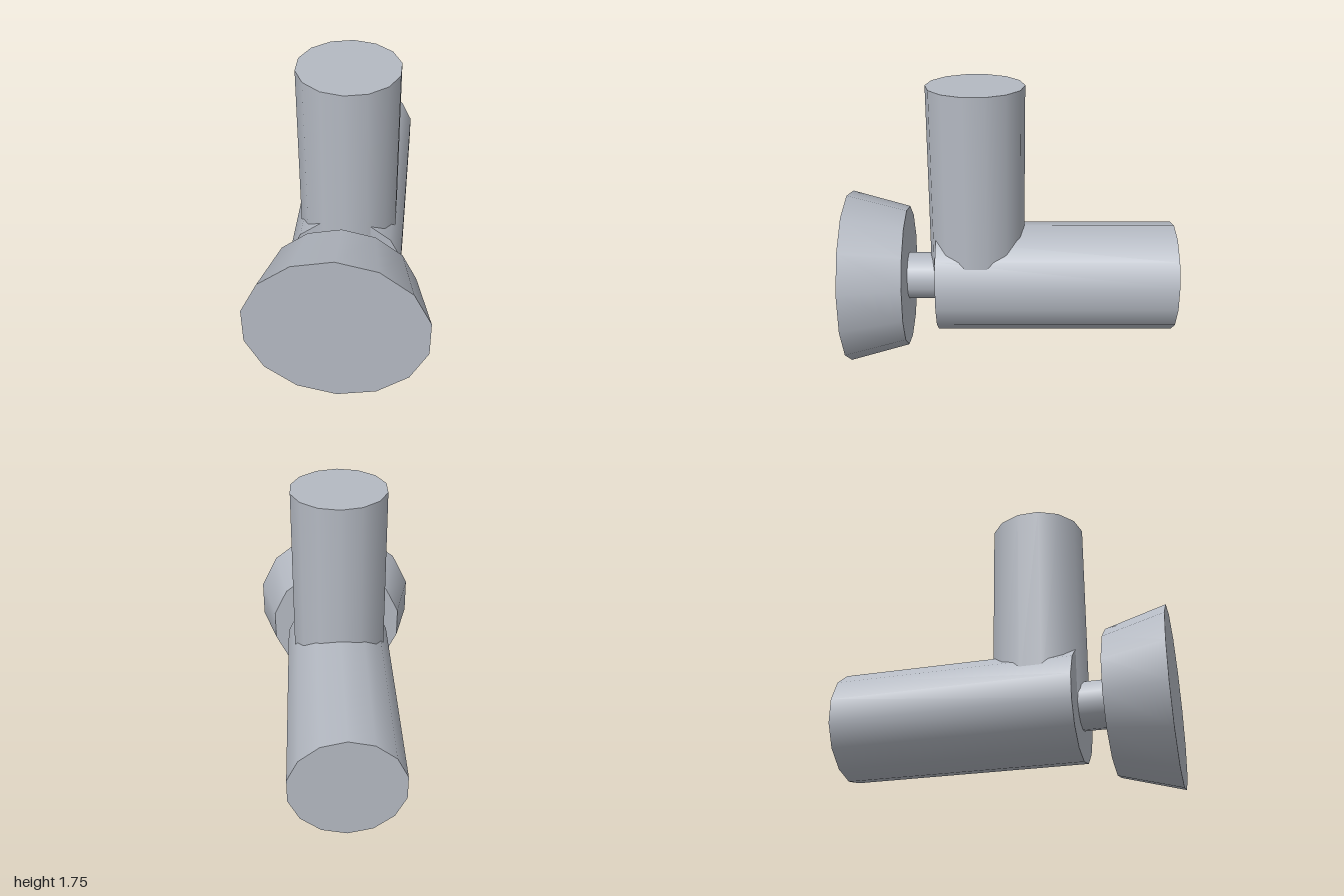
import * as THREE from 'three';

const SIDES = 14;
const AXIS_Y = 0.537;

export function createModel() {
  const group = new THREE.Group();
  const grey = new THREE.MeshStandardMaterial({ color: 0xb4b9c2 });
  grey.name = 'light grey';

  // Capped round part lying along z between two depths
  function alongZ(name, rBack, rFront, zBack, zFront) {
    const geometry = new THREE.CylinderGeometry(rFront, rBack, zFront - zBack, SIDES);
    geometry.rotateX(Math.PI / 2);
    const mesh = new THREE.Mesh(geometry, grey);
    mesh.name = name;
    mesh.position.set(0, AXIS_Y, (zBack + zFront) / 2);
    group.add(mesh);
  }

  alongZ('barrel', 0.337, 0.337, -1, 0.455);
  alongZ('neck', 0.145, 0.145, 0.4, 0.66);
  alongZ('flaredHead', 0.435, 0.533, 0.64, 1);

  // Upright post, rising from the barrel's axis
  const top = 1.75;
  const post = new THREE.Mesh(
    new THREE.CylinderGeometry(0.29, 0.29, top - AXIS_Y, SIDES), grey);
  post.name = 'uprightPost';
  post.position.set(0, (top + AXIS_Y) / 2, 0.21);
  group.add(post);

  return group;
}
